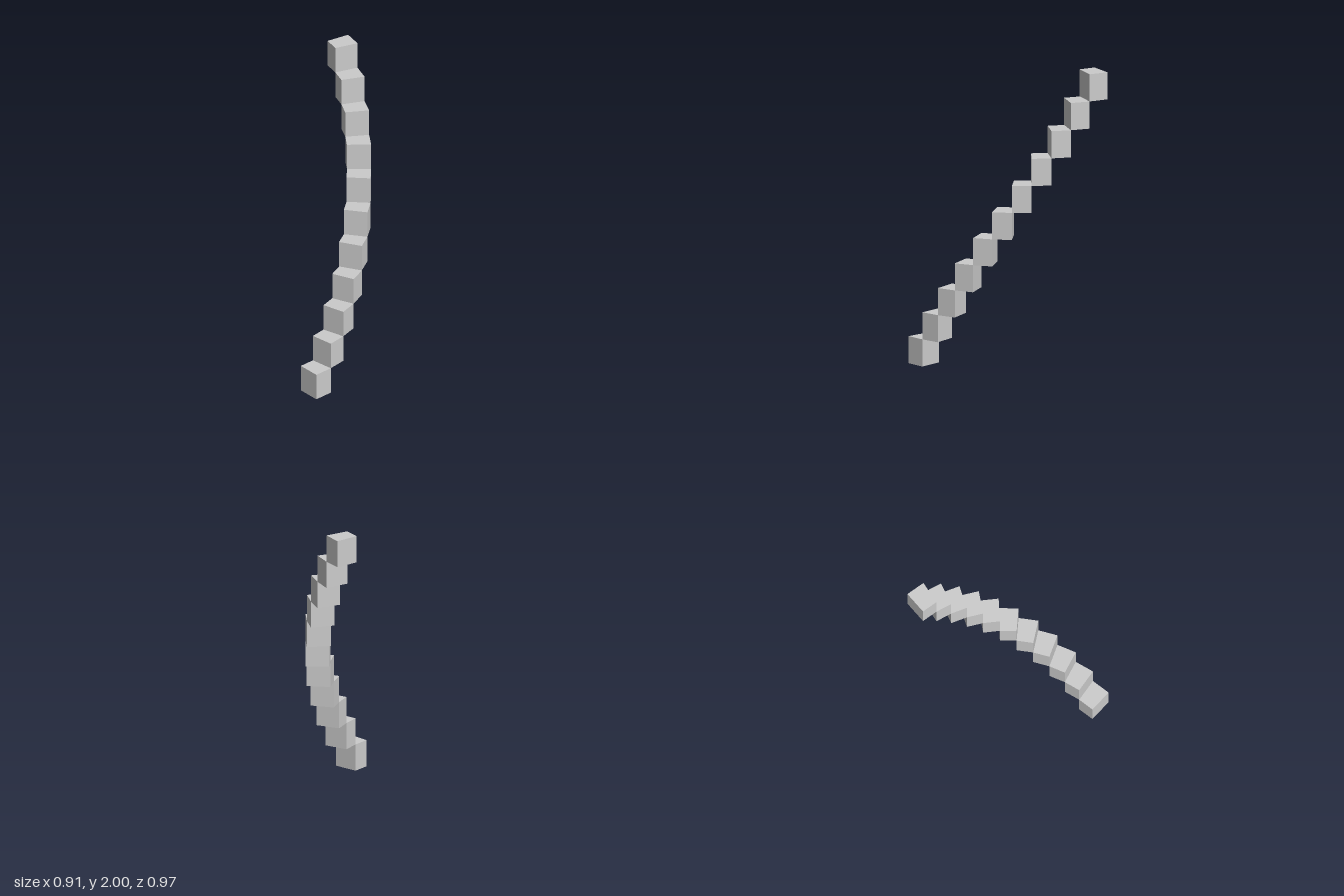
import * as THREE from 'three';

const STEPS = 11;
const RISE = 2 / STEPS;
const OUTER = 1.0, INNER = 0.842;
const CENTRE_X = -0.548, CENTRE_Z = -0.511;
const START = THREE.MathUtils.degToRad(83.68); // lowest step
const END = THREE.MathUtils.degToRad(1.68);    // highest step

// Plan point on the arc; the shape's y becomes -z once laid flat
const planPoint = (radius, angle) => new THREE.Vector2(
  CENTRE_X + radius * Math.cos(angle),
  -(CENTRE_Z + radius * Math.sin(angle))
);

export function createModel() {
  const staircase = new THREE.Group();
  staircase.name = 'curvedStaircase';
  const material = new THREE.MeshStandardMaterial({ color: 0xcccccc, flatShading: true });

  // Wedge-shaped blocks, each standing at the level of the previous one's top
  for (let i = 0; i < STEPS; i++) {
    const a = THREE.MathUtils.lerp(START, END, i / STEPS);
    const b = THREE.MathUtils.lerp(START, END, (i + 1) / STEPS);
    const plan = new THREE.Shape([
      planPoint(INNER, a), planPoint(OUTER, a), planPoint(OUTER, b), planPoint(INNER, b),
    ]);
    const geometry = new THREE.ExtrudeGeometry(plan, { depth: RISE, bevelEnabled: false });
    geometry.rotateX(-Math.PI / 2);
    const step = new THREE.Mesh(geometry, material);
    step.position.y = i * RISE;
    step.name = `step${i + 1}`;
    staircase.add(step);
  }
  return staircase;
}
